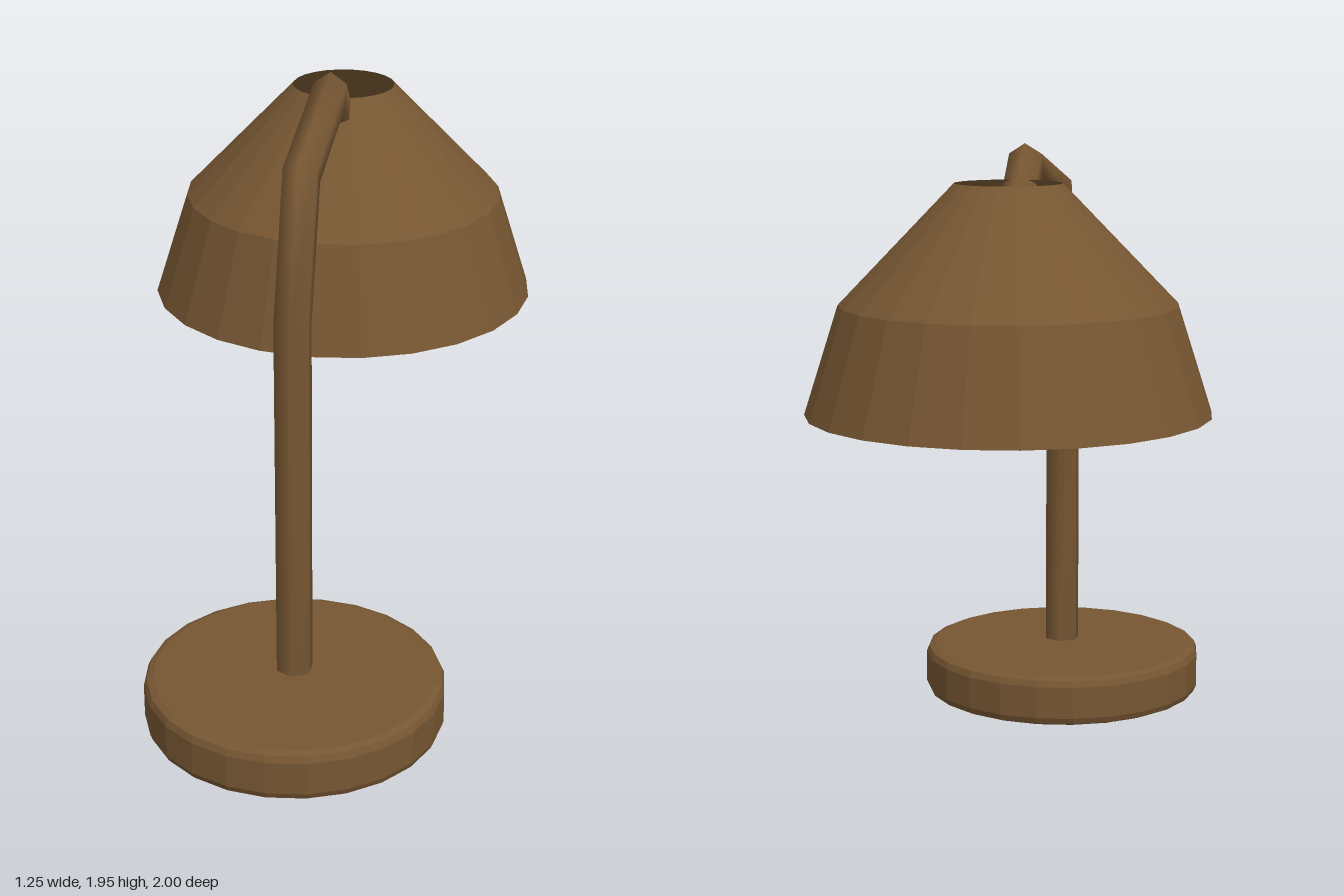
import * as THREE from 'three';

const bronze = new THREE.MeshStandardMaterial({ color: 0x765632, flatShading: true });
bronze.name = 'bronze';
const bronzeSmooth = bronze.clone();
bronzeSmooth.flatShading = false;
bronzeSmooth.name = 'bronze smooth';
const bronzeOpen = bronze.clone();
bronzeOpen.side = THREE.DoubleSide;
bronzeOpen.name = 'bronze open';
const cream = new THREE.MeshStandardMaterial({ color: 0xe6dbc0 });
cream.name = 'cream';

const SIDES = 24;
const SHADE_Z = -0.375;

function lathe(points) {
  return new THREE.LatheGeometry(points.map(([r, y]) => new THREE.Vector2(r, y)), SIDES);
}

// Mitred tube along a path of [z, y] points in the x = 0 plane, closed at both ends
function bentTube(path, radius, sides) {
  const pts = path.map(([z, y]) => new THREE.Vector2(z, y));
  const pos = [], index = [];
  const last = pts.length - 1;
  const dir = (i) => pts[i + 1].clone().sub(pts[i]).normalize();
  const ring = (i) => {
    const a = dir(Math.max(i - 1, 0)), b = dir(Math.min(i, last - 1));
    const t = a.clone().add(b).normalize();
    const reach = radius / t.dot(a);
    for (let k = 0; k < sides; k++) {
      const ang = (k / sides) * Math.PI * 2;
      const u = Math.cos(ang) * reach;
      pos.push(Math.sin(ang) * radius, pts[i].y - t.x * u, pts[i].x + t.y * u);
    }
  };
  for (let i = 0; i <= last; i++) ring(i);
  for (let i = 0; i < last; i++) {
    for (let k = 0; k < sides; k++) {
      const a = i * sides + k, b = i * sides + (k + 1) % sides;
      index.push(a, b, b + sides, a, b + sides, a + sides);
    }
  }
  // End caps on their own vertices so the rims stay sharp
  for (const end of [0, last]) {
    const s = pos.length / 3;
    ring(end);
    for (let k = 1; k < sides - 1; k++) {
      if (end === 0) index.push(s, s + k + 1, s + k);
      else index.push(s, s + k, s + k + 1);
    }
  }
  const geo = new THREE.BufferGeometry();
  geo.setAttribute('position', new THREE.Float32BufferAttribute(pos, 3));
  geo.setIndex(index);
  geo.computeVertexNormals();
  return geo;
}

export function createModel() {
  const lamp = new THREE.Group();
  lamp.name = 'deskLamp';
  const add = (name, geometry, material, y = 0, z = 0) => {
    const mesh = new THREE.Mesh(geometry, material);
    mesh.name = name;
    mesh.position.set(0, y, z);
    lamp.add(mesh);
  };

  // Round foot with softened edges
  add('base', lathe([
    [0, 0], [0.45, 0], [0.471, 0.009], [0.48, 0.03],
    [0.48, 0.138], [0.471, 0.159], [0.45, 0.168], [0, 0.168],
  ]), bronze, 0, 0.52);

  // Six-sided stem, bending over into the shade
  add('stem', bentTube([
    [0.52, 0.18], [0.52, 1.363], [0.37, 1.775], [-0.11, 1.882], [-0.375, 1.615],
  ], 0.06, 6), bronzeSmooth);

  // Thin shade, open at the top and bottom
  add('shade', lathe([[0.625, 1.14], [0.518, 1.475], [0.165, 1.84]]), bronzeOpen, 0, SHADE_Z);

  add('bulb', new THREE.SphereGeometry(0.257, 24, 16), cream, 1.386, SHADE_Z);

  return lamp;
}
